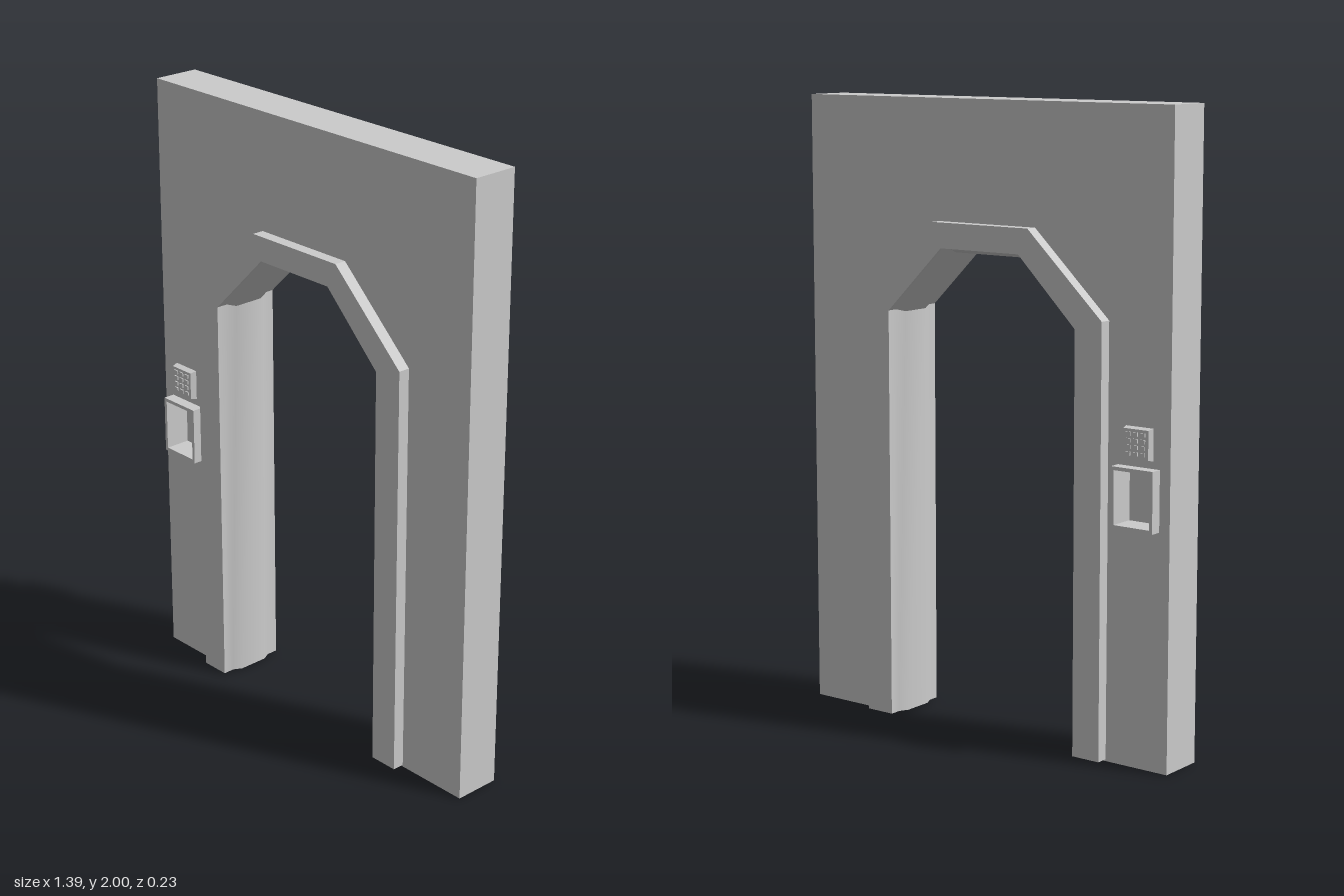
import * as THREE from 'three';
import { toCreasedNormals } from 'three/addons/utils/BufferGeometryUtils.js';

const CX = -0.014; // centre of the archway
const material = new THREE.MeshStandardMaterial({ color: 0xcccccc });

// Arch outline: half width, shoulder height, half width of top, top height
const OUTER = [0.46, 1.36, 0.185, 1.62];
const LIP = [0.362, 1.33, 0.15, 1.54];
const MIDDLE = [0.347, 1.322, 0.144, 1.523];
const OPENING = [0.41, 1.345, 0.165, 1.58];

function archPoints([w, shoulder, topW, top], base) {
  return [[-w, base], [-w, shoulder], [-topW, top], [topW, top], [w, shoulder], [w, base]]
    .map(([x, y]) => new THREE.Vector2(x + CX, y));
}

function rectPoints(x0, y0, x1, y1) {
  return [[x0, y0], [x1, y0], [x1, y1], [x0, y1]].map(([x, y]) => new THREE.Vector2(x, y));
}

// Extrusion centred on z = 0
function slab(points, depth, holes = []) {
  const shape = new THREE.Shape(points);
  shape.holes = holes.map((h) => new THREE.Path(h));
  return new THREE.ExtrudeGeometry(shape, { depth, bevelEnabled: false }).translate(0, 0, -depth / 2);
}

function add(parent, name, geometry, x = 0, y = 0, z = 0) {
  const mesh = new THREE.Mesh(geometry, material);
  mesh.name = name;
  mesh.position.set(x, y, z);
  parent.add(mesh);
  return mesh;
}

// Trim section carried around the arch, with a raised band along its inner face
function trimGeometry() {
  const section = [
    [OUTER, 0.116], [OUTER, -0.116], [LIP, -0.116], [LIP, -0.078],
    [MIDDLE, -0.05], [MIDDLE, 0.05], [LIP, 0.078], [LIP, 0.116],
  ];
  const paths = section.map(([outline]) => archPoints(outline, 0.006));
  const n = section.length;
  const stations = 6;
  const positions = [];
  const indices = [];
  for (let s = 0; s < stations; s++) {
    section.forEach(([, z], i) => positions.push(paths[i][s].x, paths[i][s].y, z));
  }
  for (let s = 0; s < stations - 1; s++) {
    for (let i = 0; i < n; i++) {
      const a = s * n + i;
      const b = s * n + ((i + 1) % n);
      indices.push(a, a + n, b, b, a + n, b + n);
    }
  }
  // Caps under both feet
  for (const [s, side] of [[0, -1], [stations - 1, 1]]) {
    const c = positions.length / 3;
    positions.push(CX + side * 0.405, 0.006, 0);
    for (let i = 0; i < n; i++) {
      const a = s * n + i;
      const b = s * n + ((i + 1) % n);
      indices.push(c, ...(side < 0 ? [a, b] : [b, a]));
    }
  }
  const geometry = new THREE.BufferGeometry();
  geometry.setAttribute('position', new THREE.Float32BufferAttribute(positions, 3));
  geometry.setIndex(indices);
  return toCreasedNormals(geometry, 0.6);
}

// Keypad plate with chamfered edges and a grid of small buttons
function keypad(side) {
  const group = new THREE.Group();
  group.name = side > 0 ? 'frontKeypad' : 'backKeypad';
  const plate = slab(rectPoints(-0.051, -0.051, 0.051, 0.051), 0.03);
  const p = plate.attributes.position;
  for (let i = 0; i < p.count; i++) {
    if (p.getZ(i) > 0) p.setXY(i, p.getX(i) * 0.88, p.getY(i) * 0.88);
  }
  plate.computeVertexNormals();
  add(group, 'keypadPlate', plate, 0, 0, 0.083);
  const button = new THREE.BoxGeometry(0.016, 0.012, 0.006);
  for (let row = 0; row < 4; row++) {
    for (let col = 0; col < 3; col++) {
      add(group, 'keypadButton', button, (col - 1) * 0.026, (row - 1.5) * 0.02, 0.099);
    }
  }
  group.position.set(-0.587, 1.003, 0);
  if (side < 0) group.scale.z = -1;
  return group;
}

export function createModel() {
  const model = new THREE.Group();
  model.name = 'doorway';

  // Wall slab with the archway cut from its foot and a niche beside it
  const niche = rectPoints(-0.65, 0.752, -0.52, 0.921);
  const outline = [
    new THREE.Vector2(-0.697, 0), ...archPoints(OPENING, 0),
    new THREE.Vector2(0.697, 0), new THREE.Vector2(0.697, 2), new THREE.Vector2(-0.697, 2),
  ];
  add(model, 'wall', slab(outline, 0.154, [niche]));

  add(model, 'archTrim', trimGeometry());

  // Niche rim stands proud on both faces, with a back plate in the middle
  add(model, 'nicheRim', slab(rectPoints(-0.66, 0.742, -0.51, 0.931), 0.23, [rectPoints(-0.649, 0.753, -0.521, 0.92)]));
  add(model, 'nicheBack', new THREE.BoxGeometry(0.135, 0.175, 0.06), -0.585, 0.8365, 0);

  for (const side of [1, -1]) model.add(keypad(side));
  return model;
}
